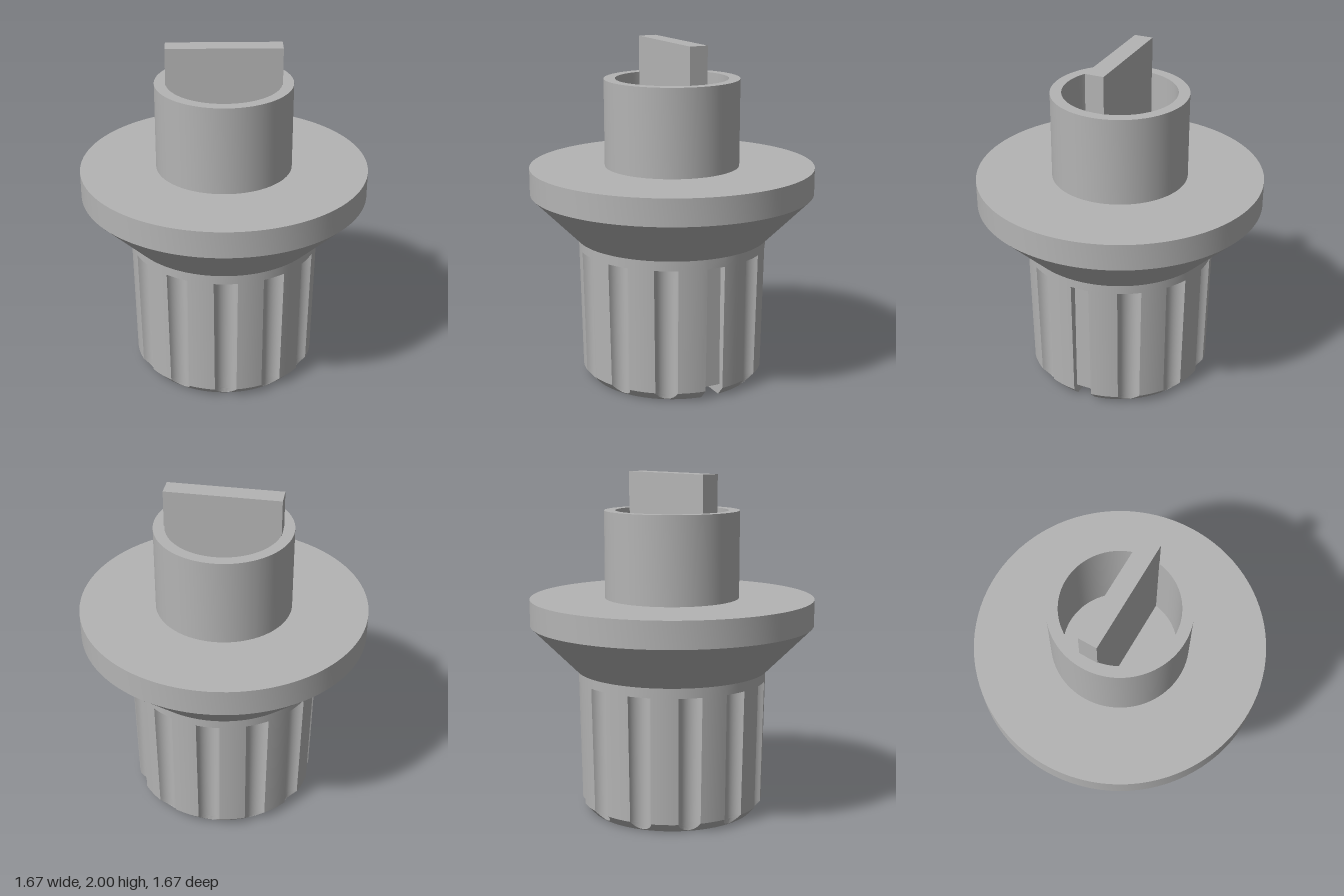
import * as THREE from 'three';
import { toCreasedNormals } from 'three/addons/utils/BufferGeometryUtils.js';

const FLUTE_R = 0.07, FLUTE_C = 0.565; // flute radius and its axis distance
const SLOT = 0.055;                    // half width of the pointer slot
const FLUTE_STEPS = 12, LAND_STEPS = 6;

// One horizontal section of the grip; slotX is the depth of the pointer slot.
function gripLoop(R, slotX, plain) {
  const cosB = (FLUTE_C ** 2 + FLUTE_R ** 2 - R * R) / (2 * FLUTE_C * FLUTE_R);
  const B = Math.acos(Math.min(1, cosB));
  const half = R > FLUTE_C - FLUTE_R
    ? Math.atan2(FLUTE_R * Math.sin(B), FLUTE_C - FLUTE_R * Math.cos(B)) : 0;
  const slotEdge = Math.sqrt(R * R - SLOT * SLOT);
  const slotHalf = Math.asin(SLOT / R);
  const pts = [];
  for (let k = 0; k < 12; k++) {
    const mid = k * Math.PI / 6;
    if (k === 0) {
      const floor = plain ? slotEdge : Math.min(slotX, slotEdge);
      pts.push([slotEdge, -SLOT], [floor, -SLOT], [floor, SLOT], [slotEdge, SLOT]);
    } else {
      for (let i = 0; i <= FLUTE_STEPS; i++) {
        const b = B * (2 * i / FLUTE_STEPS - 1);
        const x = FLUTE_C - FLUTE_R * Math.cos(b), z = FLUTE_R * Math.sin(b);
        const r = plain || half === 0 ? R : Math.hypot(x, z);
        const a = mid + Math.atan2(z, x);
        pts.push([r * Math.cos(a), r * Math.sin(a)]);
      }
    }
    // land up to the next flute
    const start = mid + (k === 0 ? slotHalf : half);
    const end = mid + Math.PI / 6 - (k === 11 ? slotHalf : half);
    for (let i = 1; i < LAND_STEPS; i++) {
      const a = start + (end - start) * i / LAND_STEPS;
      pts.push([R * Math.cos(a), R * Math.sin(a)]);
    }
  }
  return pts;
}

// Stack the sections into a wall.
function gripWall(rows) {
  const pos = [], index = [], n = rows[0].pts.length;
  rows.forEach(({ y, pts }) => pts.forEach(([x, z]) => pos.push(x, y, z)));
  for (let j = 0; j < rows.length - 1; j++) {
    for (let i = 0; i < n; i++) {
      const a = j * n + i, b = j * n + (i + 1) % n;
      index.push(a, a + n, b, b, a + n, b + n);
    }
  }
  const g = new THREE.BufferGeometry();
  g.setAttribute('position', new THREE.Float32BufferAttribute(pos, 3));
  g.setIndex(index);
  return toCreasedNormals(g, 0.5);
}

export function createModel() {
  const group = new THREE.Group();
  const grey = new THREE.MeshStandardMaterial({ color: 0xb4b4b4 });
  grey.name = 'grey plastic';
  const add = (name, geometry) => {
    const mesh = new THREE.Mesh(geometry, grey);
    mesh.name = name;
    group.add(mesh);
    return mesh;
  };

  // Fluted grip: chamfer, slightly tapered wall, plain collar
  const taper = y => 0.54 + 0.015 * (y - 0.055) / 0.795;
  const rows = [];
  const row = (y, R, slotX, plain = false) => rows.push({ y, pts: gripLoop(R, slotX, plain) });
  for (let i = 0; i <= 10; i++) row(0.0055 * i, 0.49 + 0.005 * i, 0);
  row(0.065, taper(0.065), 0);
  row(0.065, taper(0.065), 0.5);
  row(0.79, taper(0.79), 0.5);
  row(0.79, taper(0.79), 0.5, true);
  row(0.85, taper(0.85), 0.5, true);
  add('flutedGrip', gripWall(rows));

  // End face of the grip, cut by the pointer slot
  const outline = rows[0].pts.filter(([x, z], i, all) => {
    const [px, pz] = all[(i + all.length - 1) % all.length];
    return Math.hypot(x - px, z - pz) > 1e-5;
  }).map(([x, z]) => new THREE.Vector2(x, z));
  add('gripEndFace', new THREE.ShapeGeometry(new THREE.Shape(outline)).rotateX(Math.PI / 2));

  // Flared skirt and hollow collar
  const profile = [[0, 0.85], [0.565, 0.85], [0.835, 1.12], [0.835, 1.275], [0.395, 1.275],
    [0.395, 1.785], [0.33, 1.785], [0.33, 1.2], [0, 1.2]].map(p => new THREE.Vector2(...p));
  add('skirtAndCollar', toCreasedNormals(new THREE.LatheGeometry(profile, 96), 0.5));

  // Flat drive blade standing in the collar
  add('driveBlade', new THREE.BoxGeometry(0.658, 0.8, 0.11)).position.y = 1.6;

  return group;
}
